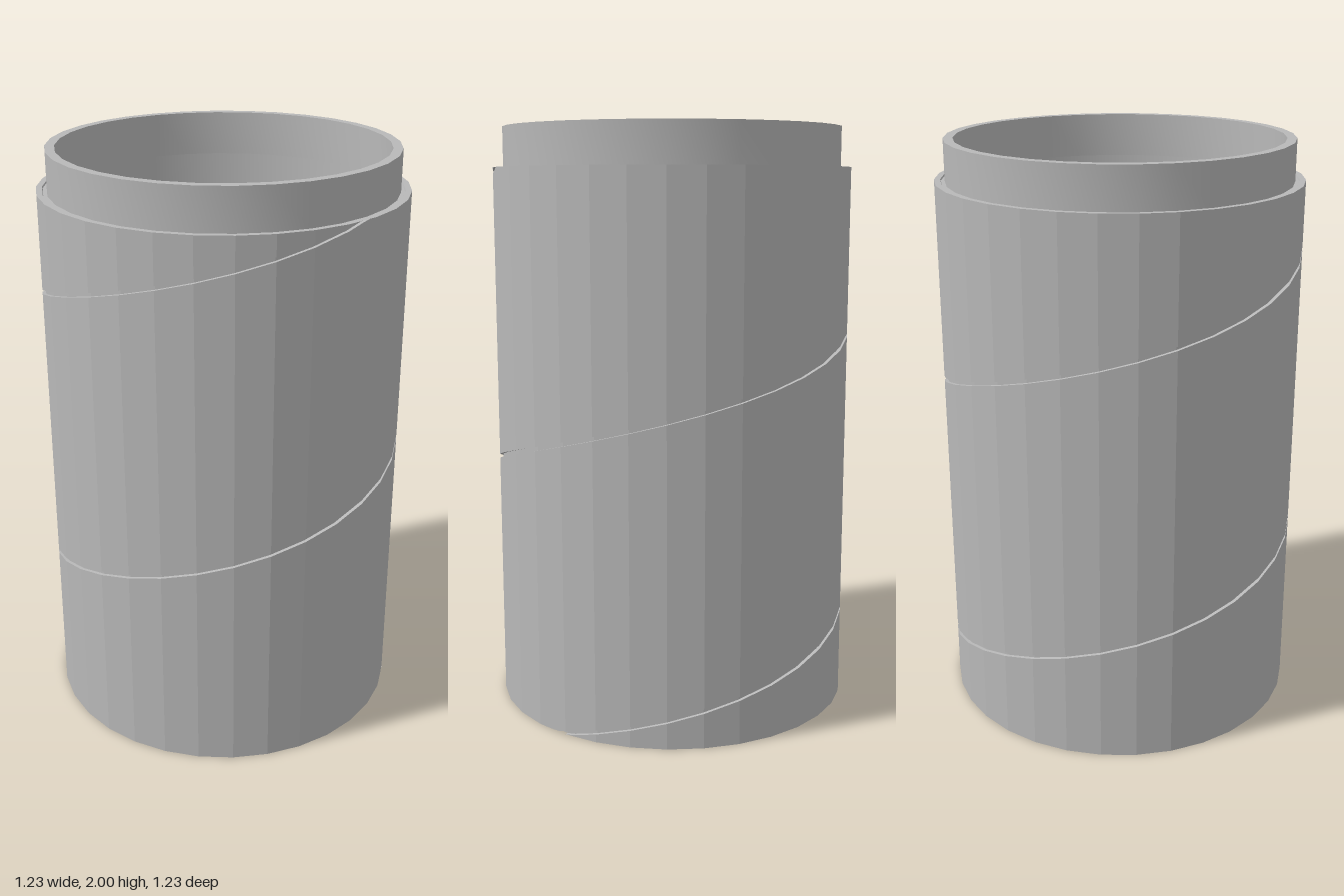
import * as THREE from 'three';
import { toCreasedNormals } from 'three/addons/utils/BufferGeometryUtils.js';

const SIDES = 32, SUB = 4;            // facets round the pipe, slices per facet
const R = 0.617, INNER = 0.585;       // pipe wall radii
const H = 1.865;                      // height of the pipe shoulder
const PITCH = 0.985, START = 0.865;   // seam rise per turn, seam height at the front
const SEAM_W = 0.014, SEAM_D = 0.012; // seam groove width and depth

// Point on a faceted ring, clipped to the pipe's height
function ringPoint(angle, y, radius) {
  const step = (Math.PI * 2) / SIDES;
  const local = angle - (Math.floor(angle / step + 1e-6) + 0.5) * step;
  const r = (radius * Math.cos(step / 2)) / Math.cos(local);
  return new THREE.Vector3(r * Math.sin(angle), THREE.MathUtils.clamp(y, 0, H), r * Math.cos(angle));
}

// Outer wall: one groove-and-band profile swept along the helix
function spiralWall() {
  const profile = [
    [-SEAM_W / 2, R], [-SEAM_W / 2, R - SEAM_D],
    [SEAM_W / 2, R - SEAM_D], [SEAM_W / 2, R],
    [PITCH - SEAM_W / 2, R],
  ];
  const out = [];
  const tri = (a, b, c) => {
    const area = b.clone().sub(a).cross(c.clone().sub(a)).length();
    if (area > 1e-9) for (const p of [a, b, c]) out.push(p.x, p.y, p.z);
  };
  const n = SIDES * SUB;
  for (let turn = -2; turn <= 2; turn++) {
    for (let i = 0; i < n; i++) {
      const t0 = (i / n) * Math.PI * 2, t1 = ((i + 1) / n) * Math.PI * 2;
      const y0 = START + PITCH * (turn + i / n), y1 = y0 + PITCH / n;
      for (let j = 0; j < profile.length - 1; j++) {
        const [lo, rLo] = profile[j], [hi, rHi] = profile[j + 1];
        if (y0 + lo >= H || y1 + hi <= 0) continue;
        const a = ringPoint(t0, y0 + lo, rLo), b = ringPoint(t1, y1 + lo, rLo);
        const c = ringPoint(t1, y1 + hi, rHi), d = ringPoint(t0, y0 + hi, rHi);
        tri(a, b, c);
        tri(a, c, d);
      }
    }
  }
  const geometry = new THREE.BufferGeometry();
  geometry.setAttribute('position', new THREE.Float32BufferAttribute(out, 3));
  geometry.computeVertexNormals();
  return geometry;
}

// Turned part with sharp corners and smooth walls
function turned(points) {
  const lathe = new THREE.LatheGeometry(points.map(([x, y]) => new THREE.Vector2(x, y)), SIDES);
  return toCreasedNormals(lathe, 0.5);
}

export function createModel() {
  const metal = new THREE.MeshStandardMaterial({ color: 0xb8b8b8 });
  metal.name = 'galvanised grey';
  const group = new THREE.Group();
  group.name = 'spiralPipe';
  const add = (name, geometry) => {
    const mesh = new THREE.Mesh(geometry, metal);
    mesh.name = name;
    group.add(mesh);
  };

  add('spiralWall', spiralWall());
  // Shoulder and the narrower collar that plugs into the next pipe
  add('collar', turned([
    [R, H], [0.597, H], [0.595, 1.86], [0.582, 1.86], [0.582, 2], [0.55, 2], [0.55, 1.85], [INNER, 1.85],
  ]));
  // Inside wall and bottom rim
  add('innerWall', turned([[INNER, 1.85], [INNER, 0], [R, 0]]));
  return group;
}
